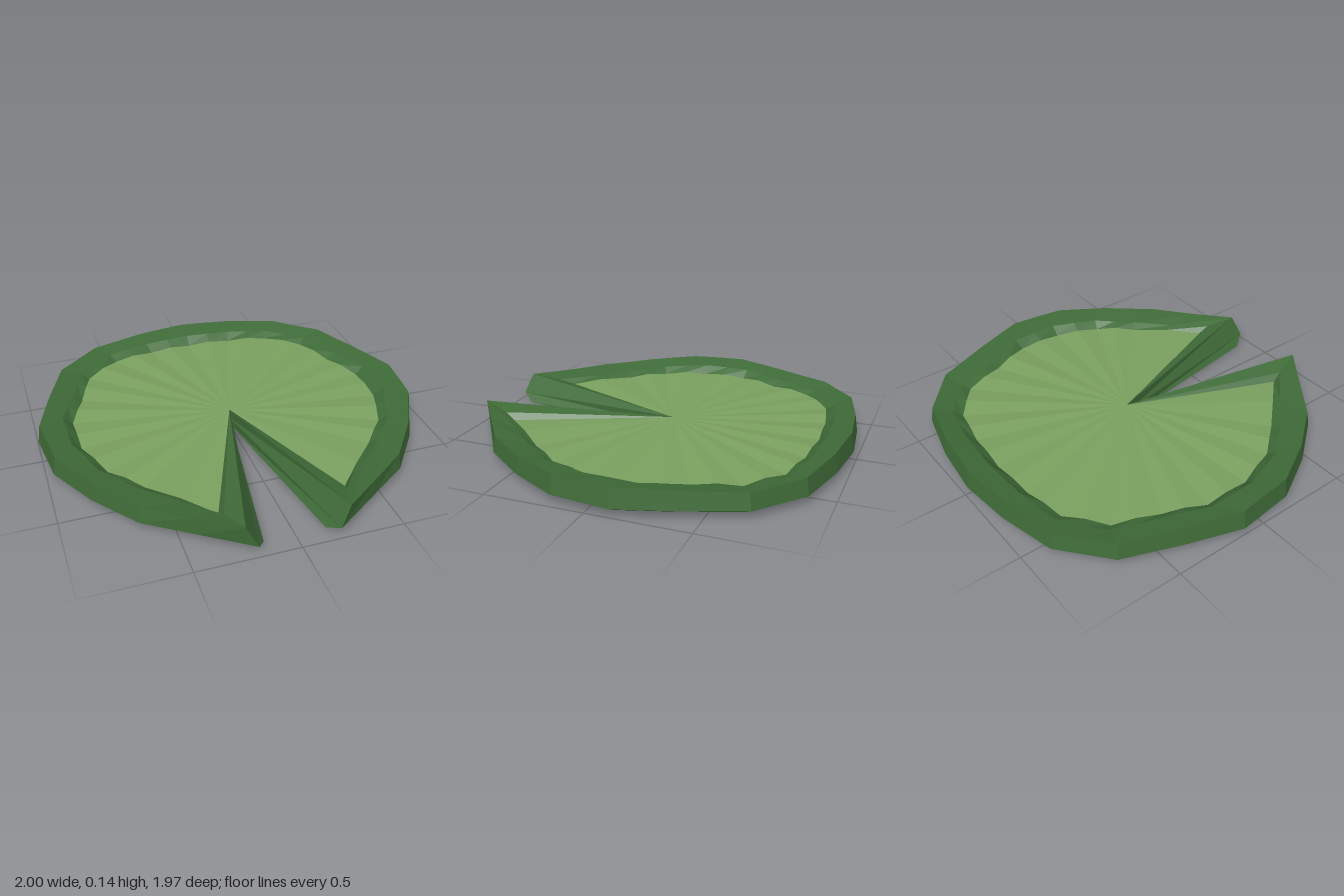
import * as THREE from 'three';

// Half outlines [x, z], from the notch tip round the +x side to the back middle
const WIDE = [[0.195, 0.98], [0.655, 0.66], [0.83, 0.43], [0.965, 0.18], [1, -0.12], [0.91, -0.4],
  [0.80, -0.69], [0.57, -0.885], [0.28, -0.955], [0, -0.985]];
const LEAF = [[0.31, 0.75], [0.58, 0.46], [0.72, 0.29], [0.805, 0.06], [0.81, -0.18], [0.725, -0.39],
  [0.645, -0.61], [0.46, -0.755], [0.24, -0.795], [0, -0.81]];
const CENTRE_Z = -0.03;

// Scale an outline and replace its notch tip
function resize(outline, scale, tip) {
  return outline.map(([x, z], i) => (i === 0 ? tip : [x * scale, z * scale]));
}

// Mirror a half outline, add midpoints, set heights, and close the loop at the notch apex
function ring(half, height, apexY) {
  const full = [...half, ...half.slice(0, -1).reverse().map(([x, z]) => [-x, z])];
  const pts = [];
  full.forEach(([x, z], i) => {
    pts.push([x, z]);
    const next = full[i + 1];
    if (next) pts.push([(x + next[0]) / 2, (z + next[1]) / 2]);
  });
  const loop = pts.map(([x, z], i) => new THREE.Vector3(x, height(x, z, i), z));
  loop.push(new THREE.Vector3(0, apexY, CENTRE_Z));
  return loop;
}

// Flat-faceted geometry from triangles, leaving out collapsed ones
function facets(triangles) {
  const pts = triangles
    .filter(([a, b, c]) => new THREE.Triangle(a, b, c).getArea() > 1e-7)
    .flat();
  const geometry = new THREE.BufferGeometry().setFromPoints(pts);
  geometry.computeVertexNormals();
  return geometry;
}

// Wall between a lower and an upper closed loop
function band(a, b) {
  return a.flatMap((p, i) => {
    const j = (i + 1) % a.length;
    return [[p, a[j], b[j]], [p, b[j], b[i]]];
  });
}

// Fan from the notch apex (the last point of a loop)
function fan(loop, down = false) {
  const c = loop[loop.length - 1];
  return loop.slice(0, -2).map((p, i) => (down ? [c, loop[i + 1], p] : [c, p, loop[i + 1]]));
}

export function createModel() {
  const rimGreen = new THREE.MeshStandardMaterial({ name: 'darkGreen', color: 0x3f6b38 });
  const leafGreen = new THREE.MeshStandardMaterial({ name: 'lightGreen', color: 0x7ba160 });

  // The rim rises and dips four times round the pad
  const crest = (x, z) => 0.13 + 0.01 * Math.cos(4 * Math.atan2(x, z));
  const bottom = ring(resize(WIDE, 0.925, [0.15, 0.91]), () => 0, 0);
  const wide = ring(WIDE, () => 0.04, 0.04);
  const top = ring(resize(WIDE, 0.985, [0.25, 0.95]), (x, z, i) => (i === 0 || i === 36 ? 0.14 : crest(x, z)), 0.09);
  const inner = ring(resize(LEAF, 1.06, [0.3, 0.8]), (x, z) => crest(x, z) - 0.022, 0.09);
  // Alternate edge points are lifted to give radiating ribs
  const edge = ring(LEAF, (x, z, i) => 0.075 + (i % 2) * 0.012, 0.09);

  const group = new THREE.Group();
  group.name = 'lilyPad';
  const add = (name, triangles, material) => {
    const mesh = new THREE.Mesh(facets(triangles), material);
    mesh.name = name;
    group.add(mesh);
  };
  add('underside', fan(bottom, true), rimGreen);
  add('outerWall', [...band(bottom, wide), ...band(wide, top)], rimGreen);
  add('raisedRim', [...band(top, inner), ...band(inner, edge)], rimGreen);
  add('leafSurface', fan(edge), leafGreen);
  return group;
}
